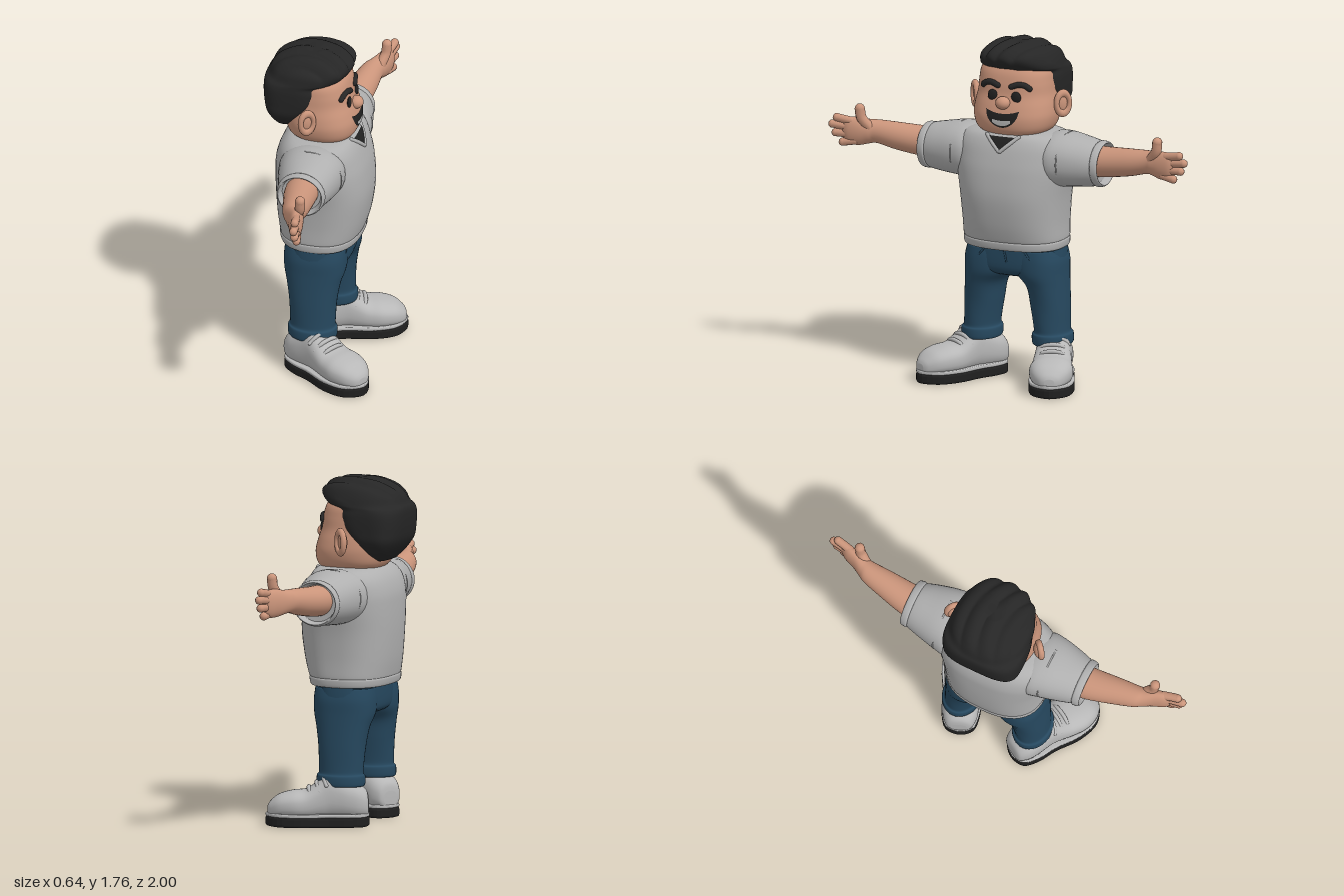
import * as THREE from 'three';
import { mergeGeometries } from 'three/addons/utils/BufferGeometryUtils.js';

const material = (name, color) => Object.assign(new THREE.MeshStandardMaterial({ color }), { name });
const skin = material('skin', 0xcb957b);
const cotton = material('shirt grey', 0xb0b0b0);
const leather = material('shoe grey', 0xb8b8b8);
const denim = material('denim blue', 0x26485f);
const hairBlack = material('hair black', 0x262626);
const dark = material('dark', 0x202020);

// Smoothly resample rows of equal length (Catmull-Rom in every column)
function resample(rows, steps = 5) {
  const out = [];
  const at = i => rows[Math.min(Math.max(i, 0), rows.length - 1)];
  for (let i = 0; i < rows.length - 1; i++)
    for (let k = 0; k < steps; k++) {
      const t = k / steps;
      out.push(at(i).map((b, c) => {
        const a = at(i - 1)[c], d = at(i + 1)[c], e = at(i + 2)[c];
        return b + 0.5 * t * (d - a + t * (2 * a - 5 * b + 4 * d - e + t * (3 * (b - d) + e - a)));
      }));
    }
  out.push(at(rows.length - 1));
  return out;
}

// Capped body through superellipse rings: [height, cx, cz, rx, rz, exponent]
function loft(rows, axis = 'y', sides = 36, steps = 5) {
  const rings = resample(rows, steps), pos = [], idx = [];
  const put = (x, y, z) => pos.push(...(axis === 'y' ? [x, y, z] : axis === 'x' ? [y, z, x] : [z, x, y]));
  const pow = (v, e) => Math.sign(v) * Math.abs(v) ** (2 / e);
  for (const [h, cx, cz, rx, rz, e = 2] of rings)
    for (let i = 0; i < sides; i++) {
      const a = i / sides * Math.PI * 2;
      put(cx + rx * pow(Math.sin(a), e), h, cz + rz * pow(Math.cos(a), e));
    }
  const n = rings.length, first = n * sides, last = first + 1;
  put(rings[0][1], rings[0][0], rings[0][2]);
  put(rings[n - 1][1], rings[n - 1][0], rings[n - 1][2]);
  for (let i = 0; i < sides; i++) {
    const k = (i + 1) % sides;
    idx.push(first, k, i, last, (n - 1) * sides + i, (n - 1) * sides + k);
    for (let j = 0; j < n - 1; j++) {
      const a = j * sides + i, b = j * sides + k;
      idx.push(a, b, a + sides, b, b + sides, a + sides);
    }
  }
  const g = new THREE.BufferGeometry();
  g.setAttribute('position', new THREE.Float32BufferAttribute(pos, 3));
  g.setIndex(idx);
  g.computeVertexNormals();
  return g;
}

// Front depth of a vertical loft at (x, y)
function frontOf(rows) {
  const rings = resample(rows);
  return (x, y) => {
    let i = 0;
    while (i < rings.length - 2 && rings[i + 1][0] < y) i++;
    const t = (y - rings[i][0]) / (rings[i + 1][0] - rings[i][0]);
    const [, , cz, rx, rz, e] = rings[i].map((v, c) => v + t * (rings[i + 1][c] - v));
    return cz + rz * Math.max(0, 1 - Math.abs(x / rx) ** e) ** (1 / e);
  };
}

// Thin painted patch between two curves, following a body's front
function patch(x0, x1, lo, hi, front, lift) {
  const g = new THREE.PlaneGeometry(1, 1, 20, 8), p = g.attributes.position;
  for (let i = 0; i < p.count; i++) {
    const x = x0 + (p.getX(i) + 0.5) * (x1 - x0);
    const y = lo(x) + (p.getY(i) + 0.5) * (hi(x) - lo(x));
    p.setXYZ(i, x, y, front(x, y) + lift);
  }
  g.computeVertexNormals();
  return g;
}

// Round-ended rod along points
function rod(points, r) {
  const v = points.map(p => new THREE.Vector3(...p));
  const end = p => new THREE.SphereGeometry(r, 10, 8).translate(p.x, p.y, p.z);
  return mergeGeometries([new THREE.TubeGeometry(new THREE.CatmullRomCurve3(v), 10, r, 10), end(v[0]), end(v[v.length - 1])]);
}

const ball = (x, y, z, rx, ry, rz) => new THREE.SphereGeometry(1, 24, 16).scale(rx, ry, rz).translate(x, y, z);

// Mirror across x, keeping faces outward
function flip(geometry) {
  const g = geometry.clone().scale(-1, 1, 1), ix = g.index;
  for (let i = 0; i < ix.count; i += 3) {
    const a = ix.getX(i);
    ix.setX(i, ix.getX(i + 1));
    ix.setX(i + 1, a);
  }
  return g;
}

export function createModel() {
  const model = new THREE.Group(), figure = new THREE.Group();
  model.name = 'figure';
  figure.name = 'body';
  figure.rotation.y = Math.PI / 2;
  model.add(figure);
  const add = (name, geo, mat, parent = figure) => {
    const m = new THREE.Mesh(geo, mat);
    m.name = name;
    parent.add(m);
  };
  const pair = (name, geo, mat) => {
    add(name + 'Left', geo, mat);
    add(name + 'Right', flip(geo), mat);
  };

  // Head and face
  const headRows = [
    [1.27, 0, -.03, .08, .09, 2.2], [1.285, 0, -.03, .14, .135, 2.3], [1.32, 0, -.035, .192, .172, 2.5],
    [1.38, 0, -.04, .213, .186, 2.5], [1.44, 0, -.05, .211, .183, 2.5], [1.5, 0, -.06, .2, .173, 2.5],
    [1.56, 0, -.065, .196, .17, 2.5], [1.62, 0, -.07, .186, .158, 2.4], [1.68, 0, -.08, .14, .12, 2.2],
    [1.7, 0, -.08, .06, .06, 2]];
  const face = frontOf(headRows);
  add('head', loft(headRows, 'y', 48), skin);
  add('neck', new THREE.CylinderGeometry(.11, .13, .12, 32).translate(0, 1.26, -.04), skin);
  add('nose', ball(0, 1.465, .13, .038, .033, .036), skin);
  pair('eye', ball(.065, 1.495, face(.065, 1.495), .027, .03, .01), dark);
  pair('brow', rod([[.038, 1.548], [.075, 1.56], [.108, 1.555], [.128, 1.54]]
    .map(([x, y]) => [x, y, face(x, y) + .002]), .015), hairBlack);
  const lipTop = x => 1.412 + 2 * x * x;
  const lipLow = x => lipTop(x) - .072 * Math.sqrt(Math.max(0, 1 - (x / .092) ** 2));
  add('mouth', patch(-.092, .092, lipLow, lipTop, face, .004), dark);
  add('teeth', patch(-.05, .05, x => lipLow(x) + .01, x => lipTop(x) - .035, face, .007), leather);
  pair('ear', mergeGeometries([
    ball(0, 0, 0, .02, .055, .036),
    new THREE.TorusGeometry(.042, .016, 12, 28).scale(.85, 1.25, 1).rotateY(Math.PI / 2).translate(.012, 0, 0),
  ]).rotateY(-.7).translate(.235, 1.447, -.07), skin);

  // Hair, with swept ridges on the upper half
  const hair = loft([
    [1.34, 0, -.215, .1, .02, 2.5], [1.38, 0, -.21, .165, .062, 3], [1.44, 0, -.198, .205, .112, 3.4],
    [1.5, 0, -.176, .214, .148, 3.4], [1.57, 0, -.165, .217, .165, 3.2], [1.607, 0, -.157, .214, .17, 2.8],
    [1.63, 0, -.115, .21, .198, 2.4], [1.67, 0, -.09, .198, .203, 2.3], [1.705, 0, -.078, .168, .178, 2.2],
    [1.735, 0, -.072, .115, .122, 2], [1.748, 0, -.075, .05, .055, 2]], 'y', 96, 6);
  const hp = hair.attributes.position;
  for (let i = 0; i < hp.count; i++) {
    const x = hp.getX(i), y = hp.getY(i), z = hp.getZ(i);
    const w = THREE.MathUtils.smoothstep(y, 1.6, 1.7);
    const ridge = w * (Math.abs(Math.sin(34 * (x + .35 * z + 1.2 * z * z))) - .45);
    hp.setXYZ(i, x * (1 + .03 * ridge), y + .016 * ridge, z + (z > 0 ? .012 : 0) * ridge);
  }
  hair.computeVertexNormals();
  add('hair', hair, hairBlack);

  // Shirt with hems turned under
  const torsoRows = [
    [.72, 0, -.04, .24, .18, 2.5], [.706, 0, -.04, .258, .196, 2.5], [.715, 0, -.04, .266, .205, 2.5],
    [.742, 0, -.04, .268, .209, 2.5], [.75, 0, -.04, .263, .205, 2.5], [.76, 0, -.038, .267, .211, 2.5],
    [.85, 0, -.033, .268, .229, 2.5], [.98, 0, -.029, .278, .241, 2.5], [1.1, 0, -.034, .298, .236, 2.5],
    [1.18, 0, -.04, .305, .224, 2.5], [1.25, 0, -.04, .298, .2, 2.5], [1.295, 0, -.035, .255, .166, 2.4],
    [1.312, 0, -.03, .15, .12, 2.2]];
  add('shirt', loft(torsoRows, 'y', 48), cotton);
  pair('sleeve', loft([
    [.12, -.04, 1.17, .11, .1, 2.2], [.22, -.036, 1.17, .168, .136, 2.2], [.3, -.032, 1.172, .163, .138, 2.2],
    [.4, -.03, 1.168, .14, .126, 2.1], [.455, -.03, 1.166, .124, .117, 2], [.462, -.03, 1.165, .12, .113, 2],
    [.47, -.03, 1.165, .126, .118, 2], [.495, -.03, 1.165, .122, .115, 2], [.5, -.03, 1.165, .112, .105, 2],
    [.465, -.03, 1.165, .1, .094, 2]], 'x'), cotton);
  pair('sleeveSeam', new THREE.TorusGeometry(1, .022, 8, 40).rotateY(Math.PI / 2)
    .scale(.18, .138, .164).translate(.295, 1.172, -.032), cotton);
  const chest = frontOf(torsoRows);
  add('neckline', patch(-.08, .08, x => 1.225 + Math.abs(x) * .8, () => 1.292, chest, .005), dark);
  pair('collar', rod([[.004, 1.222], [.045, 1.258], [.088, 1.294]].map(([x, y]) => [x, y, chest(x, y)]), .01), cotton);

  // Arms and hands
  pair('arm', loft([
    [.42, -.03, 1.175, .085, .08], [.52, -.025, 1.18, .083, .077], [.65, -.008, 1.195, .07, .07],
    [.75, .005, 1.21, .057, .06], [.79, .02, 1.21, .05, .062], [.84, .04, 1.21, .04, .072],
    [.89, .052, 1.212, .032, .07], [.92, .058, 1.214, .018, .05]], 'x', 28), skin);
  const fingers = [[.88, 1.262, .955, 1.276], [.89, 1.23, .98, 1.24], [.88, 1.195, .962, 1.197], [.86, 1.162, .922, 1.152]]
    .map(([x0, y0, x1, y1]) => rod([[x0, y0, .055], [(x0 + x1) / 2, (y0 + y1) / 2, .062], [x1, y1, .068]], .021));
  pair('fingers', mergeGeometries(fingers), skin);
  pair('thumb', rod([[.785, 1.235, .04], [.822, 1.285, .058], [.83, 1.333, .062]], .026), skin);

  // Trousers
  add('hips', loft([
    [.545, 0, -.045, .12, .07, 2.2], [.57, 0, -.045, .22, .135, 2.4], [.61, 0, -.045, .26, .16, 2.5],
    [.73, 0, -.045, .258, .162, 2.5]]), denim);
  pair('trouserLeg', loft([
    [.225, .195, -.045, .075, .09, 2], [.205, .197, -.045, .09, .115, 2], [.215, .197, -.045, .1, .126, 2],
    [.255, .196, -.045, .1, .126, 2], [.268, .195, -.045, .09, .117, 2], [.3, .193, -.045, .089, .117, 2],
    [.4, .184, -.046, .094, .122, 2.2], [.5, .172, -.046, .1, .138, 2.2], [.57, .144, -.045, .124, .157, 2.3],
    [.64, .135, -.045, .13, .16, 2.4], [.7, .13, -.045, .12, .155, 2.4]]), denim);
  pair('pocketSeam', rod([[.11, .7, .112], [.15, .655, .108], [.2, .635, .085], [.24, .63, .035]], .005), denim);
  add('flySeam', rod([[0, .7, .117], [.012, .64, .115], [0, .585, .09]], .005), denim);

  // Shoes
  const outline = [[0, -.105], [.07, -.08], [.097, 0], [.098, .1], [.116, .24], [.09, .36], [0, .42]];
  const loop = [...outline, ...outline.slice(1, -1).reverse().map(([x, z]) => [-x, z])]
    .map(([x, z]) => new THREE.Vector3(x, z, 0));
  const edge = new THREE.CatmullRomCurve3(loop, true).getPoints(48).slice(0, -1);
  const slab = (y, height, bevel) => new THREE.ExtrudeGeometry(new THREE.Shape(edge.map(p => new THREE.Vector2(p.x, p.y))), {
    depth: height - 2 * bevel, bevelSize: bevel, bevelThickness: bevel, bevelOffset: -bevel, bevelSegments: 3,
  }).rotateX(Math.PI / 2).translate(0, y + height - bevel, 0);
  const upper = loft([
    [-.1, .1, 0, .035, .04], [-.09, .112, 0, .065, .065], [-.05, .125, 0, .09, .086], [0, .135, 0, .1, .092],
    [.06, .15, 0, .115, .09], [.1, .155, 0, .12, .09], [.14, .138, 0, .103, .094], [.21, .112, 0, .078, .104],
    [.28, .108, 0, .072, .111], [.35, .1, 0, .06, .092], [.395, .085, 0, .04, .055], [.41, .08, 0, .02, .025],
  ].map(r => [...r, 2.4]), 'z');
  for (const [side, x, turn] of [['Left', .19, .37], ['Right', -.19, -.52]]) {
    const shoe = new THREE.Group();
    shoe.name = 'shoe' + side;
    shoe.position.set(x, 0, -.085);
    shoe.rotation.y = turn;
    figure.add(shoe);
    add('sole', slab(0, .052, .012), dark, shoe);
    add('welt', slab(.05, .018, .006), leather, shoe);
    add('upper', upper, leather, shoe);
    [[.125, .252], [.16, .222], [.2, .196]].forEach(([z, y], i) =>
      add('lace' + (i + 1), rod([[-.078, y - .04, z - .015], [-.04, y - .005, z], [.04, y - .005, z], [.078, y - .04, z - .015]], .011), leather, shoe));
  }
  return model;
}
